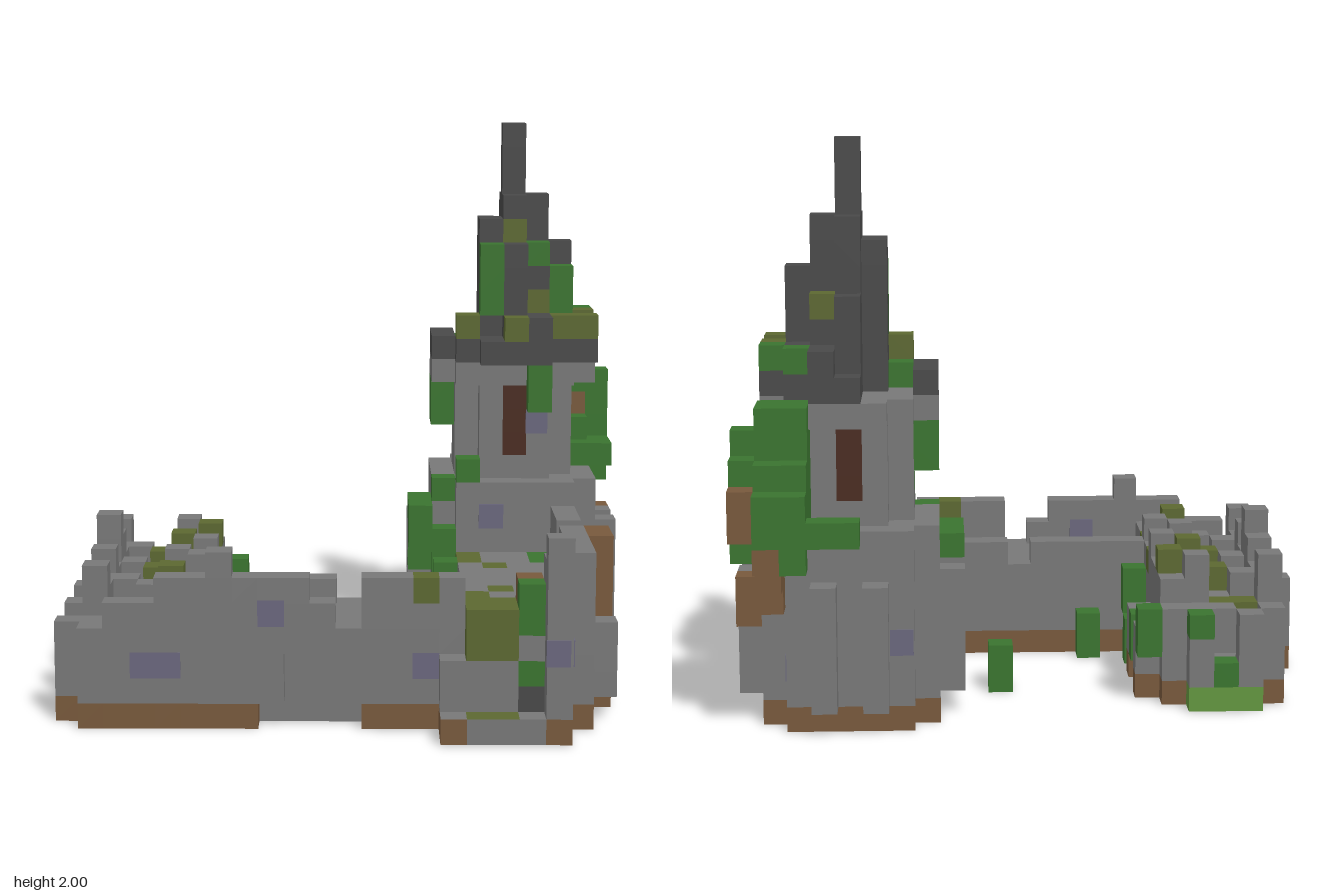
import * as THREE from 'three';

const S = 2 / 23; // edge of one block
const colours = {
  stone: 0x787878, slate: 0x494949, dirt: 0x78593c, leaf: 0x3a742f,
  moss: 0x5c6831, grass: 0x63963f, door: 0x4a2b20, stain: 0x6a677d,
};

export function createModel() {
  const mats = {};
  for (const [name, hex] of Object.entries(colours)) {
    mats[name] = new THREE.MeshStandardMaterial({ color: hex });
    mats[name].name = name;
  }

  // Block store: "x,y,z" -> { part, mat, top }; ranges are inclusive
  const cells = new Map();
  const key = (x, y, z) => x + ',' + y + ',' + z;
  function fill(part, mat, x0, x1, y0, y1, z0, z1) {
    for (let x = x0; x <= x1; x++) for (let y = y0; y <= y1; y++) for (let z = z0; z <= z1; z++)
      cells.set(key(x, y, z), { part, mat });
  }
  function carve(x0, x1, y0, y1, z0, z1) {
    for (let x = x0; x <= x1; x++) for (let y = y0; y <= y1; y++) for (let z = z0; z <= z1; z++)
      cells.delete(key(x, y, z));
  }
  function topPaint(mat, x, z) {
    for (let y = 22; y >= 0; y--) {
      const c = cells.get(key(x, y, z));
      if (c) { c.mat = mat; return; }
    }
  }
  function frontmost(x, y) {
    for (let z = 20; z >= 0; z--) if (cells.has(key(x, y, z))) return z;
    return -1;
  }
  function rightmost(y, z) {
    for (let x = 22; x >= 0; x--) if (cells.has(key(x, y, z))) return x;
    return -1;
  }
  const noise = (x, z) => (x * 7 + z * 5 + x * z * 3) % 3 === 0 ? 1 : 0;
  // Round slab about the tower axis; limit is the squared radius
  function disc(part, mat, limit, y0, y1, zEnd = 3) {
    for (let x = -3; x <= 3; x++) for (let z = -3; z <= zEnd; z++)
      if (x * x + z * z <= limit) fill(part, mat, 18 + x, 18 + x, y0, y1, 6 + z, 6 + z);
  }

  // Ruined left wing: outer wall and heaped rubble
  for (let z = 5; z <= 17; z++) for (let x = 1; x <= 5; x++) {
    if (z === 5 && (x < 2 || x > 4)) continue;
    const edge = z < 7 || z > 16 ? 1 : 0;
    const h = x === 1 ? (z === 11 ? 7 : 5 + noise(z, 1)) : (x > 3 ? 5 : 4) + noise(x, z);
    fill('leftWing', 'stone', x, x, 0, h - edge - 1, z, z);
  }
  carve(2, 4, 1, 2, 6, 9);
  carve(3, 3, 2, 2, 5, 5);
  carve(1, 1, 2, 2, 8, 8);
  for (const z of [7, 10]) fill('leftWing', 'stone', 6, 6, 0, 2, z, z);

  // Front wall with its broken skyline
  const skyline = [4, 5, 5, 6, 6, 7, 6, 6, 6, 5, 4, 6, 6, 6, 6, 5, 5, 6, 6, 7];
  skyline.forEach((h, n) => {
    const x = n + 1;
    fill('frontWall', 'stone', x, x, 0, h - 1, 18, 18);
    if (x > 5) for (let z = 14; z <= 17; z++)
      fill('frontWall', 'stone', x, x, 0, Math.min(h, z === 14 ? 5 : 4) - 1, z, z);
  });

  // Right wing, high along its outer side
  for (let z = 9; z <= 17; z++) for (let x = 16; x <= 20; x++)
    fill('rightWing', 'stone', x, x, 0, (x < 20 ? 5 : z === 13 ? 6 : 7) - 1, z, z);

  // Front bastion
  fill('bastion', 'stone', 15, 19, 0, 0, 19, 20);
  [3, 5, 5, 6, 7].forEach((h, n) => fill('bastion', 'stone', 15 + n, 15 + n, 0, h - 1, 19, 19));
  fill('bastion', 'stone', 19, 19, 0, 7, 20, 20);

  // Tower: broad base, slim shaft, corbel open to the front
  disc('towerBase', 'stone', 13, 0, 7);
  disc('towerShaft', 'stone', 5, 8, 12);
  disc('corbel', 'stone', 10, 12, 12, 2);
  for (const [x, z] of [[18, 8], [18, 4], [20, 6]]) fill('towerWindow', 'door', x, x, 9, 11, z, z);

  // Dirt along the outer edge of the bottom layer
  const low = [...cells.keys()].map((k) => k.split(',').map(Number)).filter((c) => c[1] === 0);
  for (const [x, y, z] of low) {
    const open = [[1, 0], [-1, 0], [0, 1], [0, -1]].some(([a, b]) => !cells.has(key(x + a, y, z + b)));
    if (open) cells.get(key(x, y, z)).mat = 'dirt';
  }
  for (const x of [16, 17, 18]) cells.get(key(x, 0, 20)).mat = 'stone';
  cells.get(key(15, 0, 20)).top = 'stone';
  for (const x of [16, 17]) cells.get(key(x, 0, 20)).top = 'moss';
  for (const x of [2, 3, 4]) cells.get(key(x, 0, 5)).mat = 'grass';

  // Collapsed opening in the front wall
  carve(9, 10, 0, 2, 18, 18);
  carve(11, 11, 0, 1, 18, 18);
  carve(8, 8, 0, 0, 18, 18);

  // Buttresses around tower and wings
  for (const d of [-1, 1]) {
    fill('buttress', 'stone', 18 + d, 18 + d, 1, 5, 2, 2);
    fill('buttress', 'stone', 22, 22, 1, 5, 6 + d, 6 + d);
    fill('buttress', 'stone', 14, 14, 1, 5, 6 + d, 6 + d);
  }
  for (const [z, h] of [[17, 4], [12, 6], [10, 6]]) fill('buttress', 'stone', 21, 21, 1, h - 1, z, z);
  fill('timberPost', 'dirt', 21, 21, 0, 6, 14, 15);
  for (const z of [11, 14, 17]) {
    fill('buttress', 'dirt', 0, 0, 0, 0, z, z);
    fill('buttress', 'stone', 0, 0, 1, 3, z, z);
  }
  for (const z of [12, 13, 15, 16]) fill('grassEdge', 'grass', 0, 0, 0, 0, z, z);

  // Roof: column tops row by row from the back, 0 where it has fallen in
  const roof = [
    [0, 0, 0, 14, 15, 0, 0],
    [0, 0, 0, 17, 15, 15, 0],
    [14, 0, 0, 20, 17, 15, 15],
    [14, 0, 19, 23, 20, 18, 15],
    [14, 14, 19, 20, 18, 17, 14],
    [0, 15, 14, 18, 15, 15, 15],
    [0, 0, 14, 15, 15, 0, 0],
  ];
  roof.forEach((row, r) => row.forEach((h, c) => {
    if (h) fill('roof', 'slate', 15 + c, 15 + c, 13, h - 1, 3 + r, 3 + r);
  }));
  // Ivy and moss on the roof
  const roofGrowth = [
    ['leaf', 17, 15, 17, 8], ['moss', 18, 18, 18, 7], ['moss', 16, 14, 14, 8], ['moss', 18, 14, 14, 9],
    ['moss', 20, 14, 14, 8], ['moss', 21, 14, 14, 8], ['leaf', 19, 17, 17, 7], ['moss', 19, 15, 15, 7],
    ['leaf', 20, 15, 16, 7], ['leaf', 21, 14, 14, 5], ['leaf', 20, 14, 14, 4], ['moss', 19, 16, 16, 5],
    ['moss', 21, 14, 14, 6], ['leaf', 16, 13, 13, 7],
  ];
  for (const [m, x, y0, y1, z] of roofGrowth) fill('roofIvy', m, x, x, y0, y1, z, z);

  // Tree growing from the back of the tower
  const crown = [
    [20, 8, 10, 1], [21, 7, 10, 1], [20, 8, 12, 2], [21, 7, 12, 2], [22, 7, 10, 2], [20, 8, 12, 3],
    [21, 8, 12, 3], [22, 7, 11, 3], [21, 8, 9, 4], [22, 8, 8, 4], [21, 8, 8, 5], [22, 8, 8, 5],
    [18, 8, 8, 0], [19, 8, 8, 0], [20, 7, 9, 0], [21, 8, 9, 0],
  ];
  for (const [x, y0, y1, z] of crown) fill('treeCrown', 'leaf', x, x, y0, y1, z, z);
  const trunk = [[22, 4, 5, 4], [21, 5, 5, 3], [21, 5, 6, 2], [21, 6, 6, 1], [21, 7, 7, 0], [22, 8, 9, 1], [21, 10, 10, 3]];
  for (const [x, y0, y1, z] of trunk) fill('treeTrunk', 'dirt', x, x, y0, y1, z, z);

  // Climbing ivy on walls
  const ivy = [
    [15, 10, 11, 5], [15, 10, 11, 6], [19, 11, 12, 9], [16, 8, 8, 9],
    [14, 5, 6, 9], [14, 4, 6, 8], [14, 6, 6, 7], [15, 3, 5, 9], [12, 0, 1, 8], [15, 2, 4, 11], [15, 1, 3, 13],
    [15, 3, 4, 14], [15, 3, 4, 15], [6, 2, 3, 6], [6, 1, 2, 9], [6, 0, 1, 12], [6, 2, 3, 13], [8, 0, 1, 13],
  ];
  for (const [x, y0, y1, z] of ivy) fill('wallIvy', 'leaf', x, x, y0, y1, z, z);
  topPaint('leaf', 15, 8);
  fill('wallIvy', 'dirt', 15, 15, 1, 3, 12, 12);
  for (const [x, y, m] of [[16, 3, 'moss'], [17, 3, 'moss'], [16, 4, 'moss'], [17, 4, 'moss'],
    [18, 2, 'leaf'], [18, 4, 'leaf'], [18, 5, 'leaf'], [18, 1, 'slate'], [14, 5, 'moss']])
    cells.get(key(x, y, frontmost(x, y))).mat = m;

  // Moss and leaves on upper faces
  const mossTops = [[2, 6], [2, 7], [3, 7], [4, 8], [5, 8], [3, 9], [2, 10], [4, 10], [2, 12], [3, 12], [5, 12],
    [5, 15], [6, 15], [3, 16], [4, 16], [8, 16], [16, 10], [16, 11], [17, 12], [17, 16], [16, 17], [14, 18],
    [16, 18], [17, 18], [16, 19]];
  for (const [x, z] of mossTops) topPaint('moss', x, z);
  for (const [x, z] of [[3, 5], [4, 5], [19, 10], [19, 11], [19, 16], [18, 19]]) topPaint('leaf', x, z);
  for (const [x, z] of [[6, 17], [18, 18]]) topPaint('dirt', x, z);

  // One group per part, one mesh per colour, outer faces only
  const model = new THREE.Group();
  const batches = {};
  for (const [k, c] of cells) {
    const p = k.split(',').map(Number);
    const byMat = (batches[c.part] ??= {});
    for (let a = 0; a < 3; a++) for (const s of [0, 1]) {
      const n = [...p];
      n[a] += s ? 1 : -1;
      if (cells.has(key(...n))) continue;
      const pos = (byMat[a === 1 && s && c.top ? c.top : c.mat] ??= []);
      const quad = [[0, 0], [1, 0], [1, 1], [0, 1]].map(([u, v]) => {
        const q = [...p];
        q[a] += s;
        q[(a + 1) % 3] += u;
        q[(a + 2) % 3] += v;
        return [(q[0] - 11.5) * S, q[1] * S, (q[2] - 10.5) * S];
      });
      for (const t of s ? [0, 1, 2, 0, 2, 3] : [0, 2, 1, 0, 3, 2]) pos.push(...quad[t]);
    }
  }
  for (const [part, byMat] of Object.entries(batches)) {
    const group = new THREE.Group();
    group.name = part;
    for (const [mat, pos] of Object.entries(byMat)) {
      const g = new THREE.BufferGeometry();
      g.setAttribute('position', new THREE.Float32BufferAttribute(pos, 3));
      g.computeVertexNormals();
      const mesh = new THREE.Mesh(g, mats[mat]);
      mesh.name = part + ' ' + mat;
      group.add(mesh);
    }
    model.add(group);
  }

  // Weather stains: thin plates on front, right and back walls
  function stain(x, y, z, w, h, d) {
    const m = new THREE.Mesh(new THREE.BoxGeometry(w, h, d), mats.stain);
    m.name = 'weatherStain';
    m.position.set(x, y, z);
    model.add(m);
  }
  for (const [x, y, w] of [[-0.26, 0.4, 0.09], [-0.65, 0.22, 0.17], [0.26, 0.22, 0.09], [0.52, 0.57, 0.09], [0.69, 0.31, 0.08], [0.69, 0.91, 0.08]]) {
    const z = frontmost(Math.floor(x / S + 11.5), Math.floor(y / S));
    stain(x, y, (z + 1 - 10.5) * S, w, 0.09, 0.008);
  }
  for (const [z, y] of [[0.87, 0.31], [0.52, 0.22], [-0.175, 0.31], [-0.6, 0.22]]) {
    const x = rightmost(Math.floor(y / S), Math.floor(z / S + 10.5));
    stain((x + 1 - 11.5) * S, y, z, 0.008, 0.09, 0.08);
  }
  stain(0.435, 0.31, -7.5 * S, 0.08, 0.09, 0.008);
  stain(-0.26, 0.4, 7.5 * S, 0.09, 0.09, 0.008);
  return model;
}
